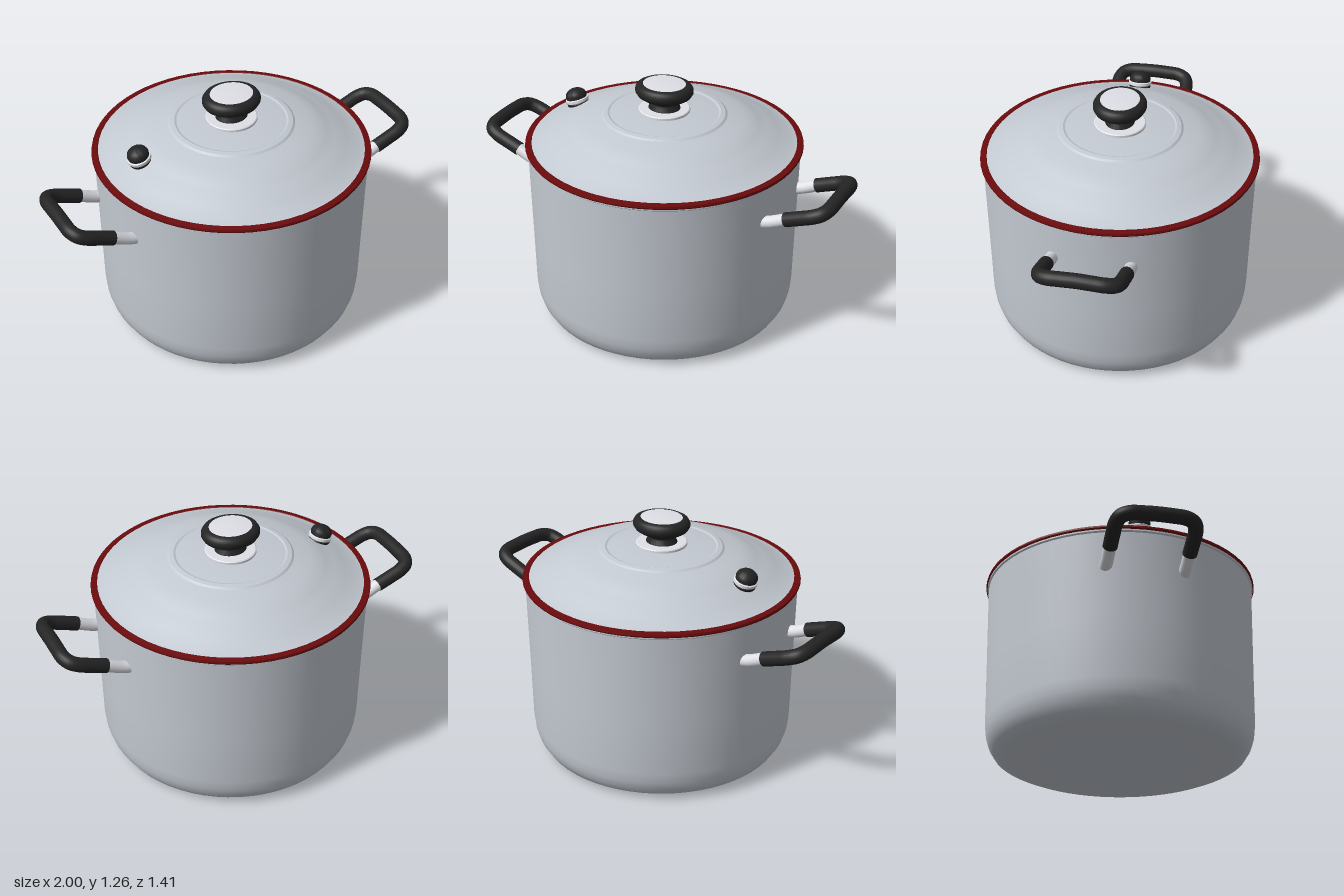
import * as THREE from 'three';
import { toCreasedNormals } from 'three/addons/utils/BufferGeometryUtils.js';

const material = (name, color) => {
  const m = new THREE.MeshStandardMaterial({ color });
  m.name = name;
  return m;
};

export function createModel() {
  const steel = material('brushed steel', 0xc4cad2);
  const polished = material('polished steel', 0xdfe0e6);
  const black = material('black plastic', 0x242424);
  const red = material('dark red seal', 0x6a0a0c);

  const model = new THREE.Group();
  model.name = 'stockPot';

  const add = (parent, name, geometry, mat) => {
    const mesh = new THREE.Mesh(geometry, mat);
    mesh.name = name;
    parent.add(mesh);
    return mesh;
  };
  // Turned part from [radius, height] pairs, listed from the bottom up
  const turned = (parent, name, profile, mat, crease = 0.6, segments = 64) => {
    const points = profile.map(([r, y]) => new THREE.Vector2(r, y));
    return add(parent, name, toCreasedNormals(new THREE.LatheGeometry(points, segments), crease), mat);
  };

  // Pot body with rounded bottom and a slightly flared lip
  turned(model, 'potBody', [
    [0, 0], [0.54, 0], [0.59, 0.01], [0.635, 0.03], [0.66, 0.07], [0.674, 0.115],
    [0.68, 0.17], [0.684, 0.45], [0.69, 0.8], [0.692, 0.922], [0.699, 0.928], [0.699, 0.938], [0.66, 0.938],
  ], steel);

  // Coloured seal between pot and lid
  turned(model, 'rimSeal', [
    [0.67, 0.936], [0.702, 0.936], [0.706, 0.943], [0.704, 0.953], [0.676, 0.957], [0.665, 0.95],
  ], red);

  // Stepped dome lid
  turned(model, 'lid', [
    [0.68, 0.953], [0.645, 0.962], [0.58, 0.997], [0.52, 1.026], [0.475, 1.045], [0.465, 1.051],
    [0.4, 1.073], [0.318, 1.092], [0.308, 1.1], [0.285, 1.104], [0.275, 1.1], [0.2, 1.109], [0, 1.115],
  ], steel, 0.35);

  // Knob: collar, waisted stem, wide oval cap and a polished inlay
  const knob = new THREE.Group();
  knob.name = 'lidKnob';
  model.add(knob);
  turned(knob, 'knobCollar', [[0.13, 1.108], [0.13, 1.122], [0.125, 1.126], [0, 1.126]], polished);
  const grip = new THREE.Group();
  grip.name = 'knobGrip';
  grip.scale.x = 1.12;
  knob.add(grip);
  turned(grip, 'knobCap', [
    [0.074, 1.124], [0.072, 1.132], [0.062, 1.145], [0.06, 1.155], [0.075, 1.167], [0.102, 1.18],
    [0.123, 1.195], [0.133, 1.213], [0.133, 1.23], [0.124, 1.246], [0.11, 1.254], [0.098, 1.255],
  ], black, 0.9);
  turned(grip, 'knobInlay', [[0.1, 1.254], [0.08, 1.256], [0, 1.258]], polished);

  // Steam valve standing square to the sloping lid
  const valve = new THREE.Group();
  valve.name = 'steamValve';
  valve.position.set(-0.506, 1.012, 0);
  valve.rotation.z = 0.28;
  model.add(valve);
  turned(valve, 'valveBase', [[0.052, -0.03], [0.056, 0], [0.053, 0.012]], polished, 0.6, 32);
  turned(valve, 'valveGroove', [[0.053, 0.012], [0.056, 0.018], [0.056, 0.026], [0.053, 0.03]], black, 0.6, 32);
  turned(valve, 'valveBand', [[0.053, 0.03], [0.06, 0.033], [0.06, 0.047], [0.05, 0.052]], polished, 0.6, 32);
  turned(valve, 'valveCap', [
    [0.053, 0.05], [0.055, 0.066], [0.05, 0.08], [0.038, 0.092], [0.02, 0.1], [0, 0.102],
  ], black, 0.9, 32);

  // Side handles: black bowed grip on two steel legs, tilted upwards
  const half = [
    [0.765, 0.786, 0.193], [0.85, 0.818, 0.193], [0.9, 0.837, 0.191], [0.94, 0.853, 0.175],
    [0.96, 0.863, 0.135], [0.963, 0.867, 0.07],
  ];
  const gripPath = [...half, [0.963, 0.869, 0], ...half.map(([x, y, z]) => [x, y, -z]).reverse()];
  const gripCurve = new THREE.CatmullRomCurve3(gripPath.map((p) => new THREE.Vector3(...p)));
  for (const [side, name] of [[1, 'leftHandle'], [-1, 'rightHandle']]) {
    const handle = new THREE.Group();
    handle.name = name;
    handle.rotation.y = side > 0 ? 0 : Math.PI;
    model.add(handle);
    add(handle, 'handleGrip', new THREE.TubeGeometry(gripCurve, 72, 0.036, 20), black);
    for (const t of [0, 1]) {
      const z = t ? -0.193 : 0.193;
      const legCurve = new THREE.CatmullRomCurve3([
        new THREE.Vector3(0.645, 0.74, z), new THREE.Vector3(0.69, 0.753, z),
        new THREE.Vector3(0.765, 0.786, z), new THREE.Vector3(0.8, 0.8, z),
      ]);
      add(handle, 'handleLeg', new THREE.TubeGeometry(legCurve, 16, 0.031, 20), polished);
      // Closing disc at the end of the grip
      const end = gripCurve.getPoint(t);
      const outward = gripCurve.getTangent(t).multiplyScalar(t ? 1 : -1);
      const disc = add(handle, 'gripEnd', new THREE.CircleGeometry(0.036, 20), black);
      disc.position.copy(end);
      disc.quaternion.setFromUnitVectors(new THREE.Vector3(0, 0, 1), outward);
    }
  }

  return model;
}
